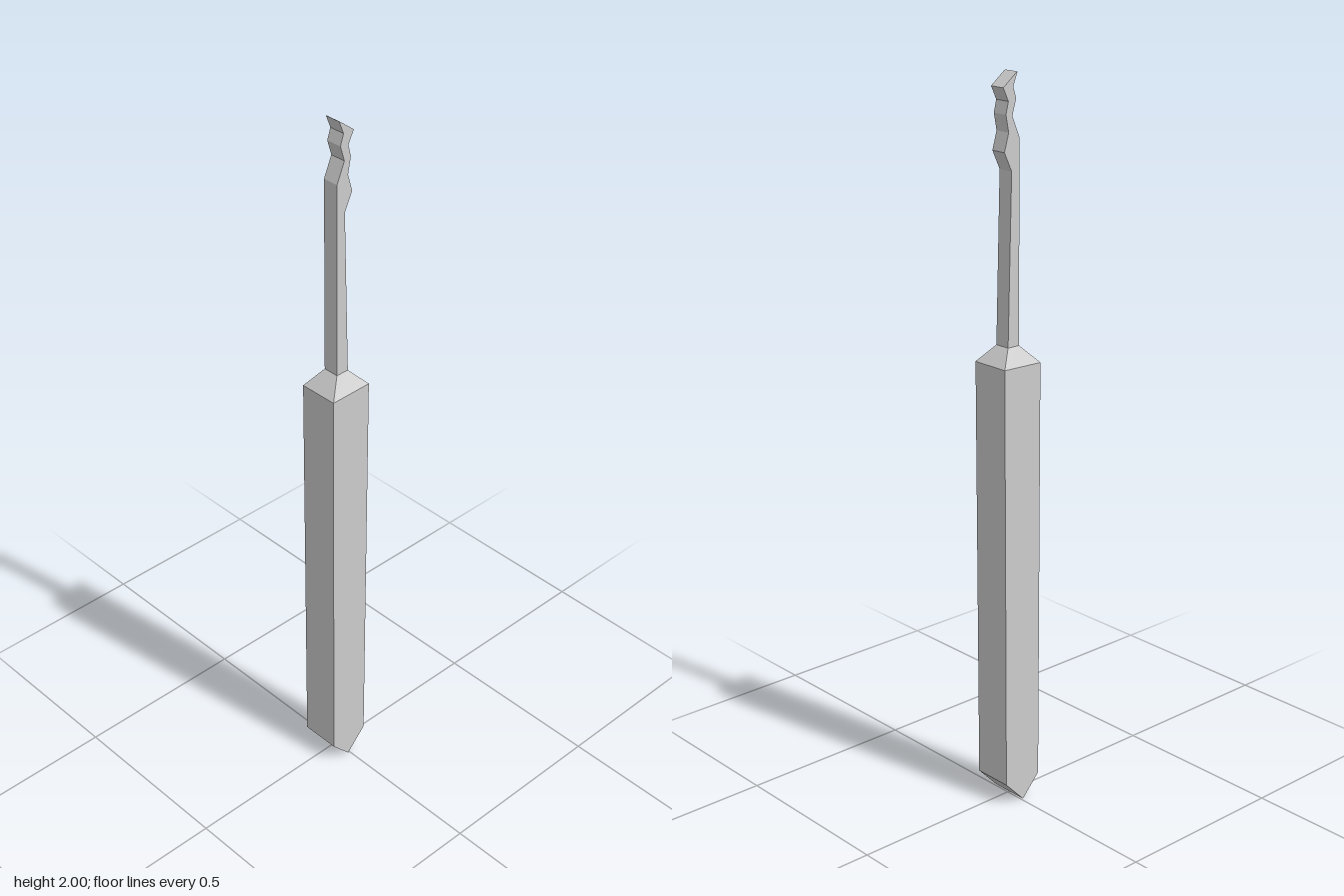
import * as THREE from 'three';

const material = new THREE.MeshStandardMaterial({ color: 0xcccccc, flatShading: true });

// Each section is [x1, y1, x2, y2, halfDepth]: a slanted rectangle across the tool.
function loft(name, sections, capStart, capEnd) {
  const rings = sections.map(([x1, y1, x2, y2, d]) => [
    [x1, y1, d], [x2, y2, d], [x2, y2, -d], [x1, y1, -d],
  ]);
  const positions = [];
  const quad = (a, b, c, d) => positions.push(...a, ...b, ...c, ...a, ...c, ...d);
  for (let i = 0; i < rings.length - 1; i++) {
    const lo = rings[i], hi = rings[i + 1];
    for (let k = 0; k < 4; k++) {
      const n = (k + 1) % 4;
      quad(lo[k], lo[n], hi[n], hi[k]);
    }
  }
  if (capStart) quad(...[...rings[0]].reverse());
  if (capEnd) quad(...rings[rings.length - 1]);
  const geometry = new THREE.BufferGeometry();
  geometry.setAttribute('position', new THREE.Float32BufferAttribute(positions, 3));
  geometry.computeVertexNormals();
  const mesh = new THREE.Mesh(geometry, material);
  mesh.name = name;
  return mesh;
}

export function createModel() {
  const group = new THREE.Group();
  group.name = 'pick';
  const wide = 0.0565, thin = 0.0225;

  const bodyTop = [-0.063, 1.253, 0.061, 1.256, wide];
  const neck = [-0.019, 1.3, 0.019, 1.3, thin];
  const shaftTop = [-0.019, 1.755, 0.007, 1.755, thin];

  // Handle with a wedge-shaped butt
  group.add(loft('handle', [
    [-0.006, 0, -0.006, 0, wide],
    [-0.063, 0.062, 0.056, 0.065, wide],
    bodyTop,
  ], false, false));

  // Tapered shoulder
  group.add(loft('shoulder', [bodyTop, neck], false, false));

  // Slim shaft
  group.add(loft('shaft', [neck, shaftTop], false, false));

  // Jagged tip with notches on both edges
  group.add(loft('tip', [
    shaftTop,
    [-0.019, 1.805, 0.031, 1.805, thin],
    [-0.019, 1.838, 0.017, 1.853, thin],
    [0.005, 1.893, 0.026, 1.898, thin],
    [-0.008, 1.935, 0.018, 1.93, thin],
    [0.002, 1.965, 0.035, 1.965, thin],
    [-0.012, 2, -0.008, 1.998, thin],
  ], false, true));

  return group;
}
